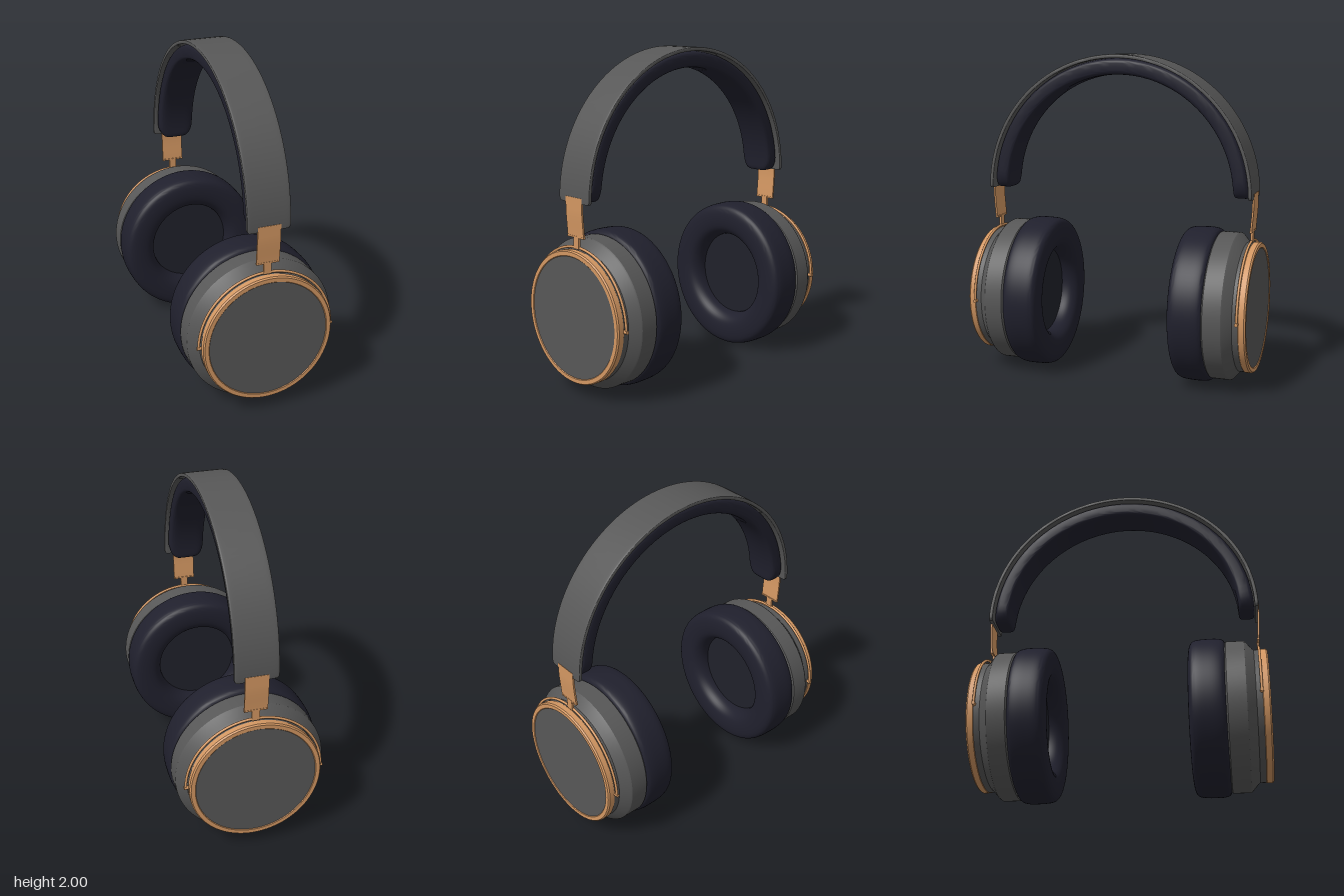
import * as THREE from 'three';
import { toCreasedNormals } from 'three/addons/utils/BufferGeometryUtils.js';

const mat = (name, color) => {
  const m = new THREE.MeshStandardMaterial({ color });
  m.name = name;
  return m;
};

const CUP_Y = 0.477;   // centre height of the ear cups
const BAND_Y = 1.153;  // centre height of the headband arc

function add(parent, name, geometry, material) {
  const mesh = new THREE.Mesh(geometry, material);
  mesh.name = name;
  parent.add(mesh);
  return mesh;
}

// Lathe a [radius, z] profile around the z axis
function latheZ(points, crease = 0.5) {
  const g = new THREE.LatheGeometry(points.map(([r, z]) => new THREE.Vector2(r, z)), 96);
  g.rotateX(Math.PI / 2);
  return toCreasedNormals(g, crease);
}

// Sweep a rounded section along a half circle; taper(distance to end) gives [width, thickness] factors
function archGeometry(radius, halfW, halfT, power, taper) {
  const sides = 48, angles = [];
  const ends = [0, 0.004, 0.012, 0.025, 0.045, 0.07, 0.1, 0.14];
  ends.forEach(a => angles.push(a));
  for (let i = 1; i < 56; i++) angles.push(0.14 + (Math.PI - 0.28) * i / 56);
  ends.slice().reverse().forEach(a => angles.push(Math.PI - a));
  angles.reverse();
  const pos = [], index = [];
  const soft = v => Math.sign(v) * Math.pow(Math.abs(v), power);
  for (const a of angles) {
    const [fw, ft] = taper(Math.min(a, Math.PI - a) * radius);
    for (let j = 0; j < sides; j++) {
      const t = j / sides * Math.PI * 2;
      const r = radius + halfT * ft * soft(Math.sin(t));
      pos.push(halfW * fw * soft(Math.cos(t)), BAND_Y + r * Math.sin(a), r * Math.cos(a));
    }
  }
  const n = angles.length;
  for (let i = 0; i < n - 1; i++) {
    for (let j = 0; j < sides; j++) {
      const k = (j + 1) % sides, p = i * sides, q = p + sides;
      index.push(p + j, p + k, q + k, p + j, q + k, q + j);
    }
  }
  const last = (n - 1) * sides;
  for (let j = 1; j < sides - 1; j++) {
    index.push(0, j + 1, j, last, last + j, last + j + 1);
  }
  const g = new THREE.BufferGeometry();
  g.setAttribute('position', new THREE.Float32BufferAttribute(pos, 3));
  g.setIndex(index);
  g.computeVertexNormals();
  return toCreasedNormals(g, 0.7);
}

function buildCup(m) {
  const side = new THREE.Group();
  const cup = new THREE.Group();
  cup.name = 'earCup';
  cup.position.y = CUP_Y;
  side.add(cup);

  // Puffy ear cushion with a slightly oval opening
  const profile = new THREE.SplineCurve([
    [0.285, 0.56], [0.262, 0.52], [0.268, 0.465], [0.3, 0.425], [0.35, 0.411], [0.41, 0.413],
    [0.445, 0.428], [0.459, 0.46], [0.463, 0.52], [0.462, 0.58], [0.452, 0.618], [0.425, 0.632],
  ].map(p => new THREE.Vector2(...p))).getPoints(44).map(p => [p.x, p.y]);
  add(cup, 'earCushion', latheZ(profile, 1), m.leather).scale.y = 1.03;

  // Cloth lining at the bottom of the opening
  const lining = add(cup, 'innerLining', new THREE.CircleGeometry(0.3, 64), m.lining);
  lining.rotation.y = Math.PI;
  lining.position.z = 0.515;

  // Stepped housing
  add(cup, 'housing', latheZ([
    [0.28, 0.622], [0.44, 0.622], [0.453, 0.634], [0.453, 0.742], [0.448, 0.75],
    [0.403, 0.788], [0.396, 0.796], [0.396, 0.832], [0.3, 0.832],
  ]), m.grey);

  // Metal rim and outer face
  add(cup, 'metalRim', latheZ([
    [0.3, 0.83], [0.394, 0.83], [0.399, 0.835], [0.399, 0.868], [0.392, 0.877],
    [0.368, 0.877], [0.364, 0.873], [0.364, 0.866],
  ]), m.copper);
  add(cup, 'outerFace', new THREE.CircleGeometry(0.366, 96), m.grey).position.z = 0.873;

  // Half-ring yoke with pivots
  add(cup, 'yoke', new THREE.TorusGeometry(0.412, 0.008, 10, 72, Math.PI), m.copper).position.z = 0.828;
  for (const s of [-1, 1]) {
    const pin = add(cup, 'yokePivot', new THREE.CylinderGeometry(0.011, 0.011, 0.035, 16), m.copper);
    pin.rotation.z = Math.PI / 2;
    pin.position.set(s * 0.405, 0, 0.828);
  }

  // Slider: narrow stem, lip and gently bent strip
  const strip = new THREE.BoxGeometry(0.14, 0.235, 0.011, 1, 16, 1);
  strip.translate(0, 1.0675, 0);
  const p = strip.attributes.position;
  for (let i = 0; i < p.count; i++) {
    p.setZ(i, p.getZ(i) + 0.832 + 0.011 * THREE.MathUtils.smoothstep(p.getY(i), 0.92, 1.12));
  }
  strip.computeVertexNormals();
  add(side, 'sliderStrip', strip, m.copper);
  add(side, 'sliderLip', new THREE.BoxGeometry(0.14, 0.01, 0.016), m.copper).position.set(0, 0.953, 0.832);
  add(side, 'sliderStem', new THREE.BoxGeometry(0.046, 0.075, 0.014), m.copper).position.set(0, 0.918, 0.83);
  return side;
}

export function createModel() {
  const m = {
    grey: mat('charcoal grey', 0x575757),
    leather: mat('dark navy leather', 0x20202d),
    lining: mat('dark lining', 0x20212a),
    copper: mat('copper metal', 0xd39762),
  };
  const model = new THREE.Group();
  model.name = 'headphones';

  // Headband shell and the padding beneath it
  add(model, 'headbandShell', archGeometry(0.8345, 0.131, 0.0125, 0.2,
    d => { const f = d < 0.012 ? 1 - 0.08 * (1 - d / 0.012) : 1; return [f, f]; }), m.grey);
  add(model, 'headbandPad', archGeometry(0.772, 0.114, 0.05, 0.42, d => {
    const w = Math.max(0, 1 - d / 0.1), t = Math.max(0, 1 - d / 0.03);
    return [0.5 + 0.5 * Math.sqrt(1 - w * w), 0.72 + 0.28 * Math.sqrt(1 - t * t)];
  }), m.leather);

  // Two matching ear cups facing each other
  for (const [name, turn] of [['frontCup', 0], ['backCup', Math.PI]]) {
    const side = buildCup(m);
    side.name = name;
    side.rotation.y = turn;
    model.add(side);
  }
  return model;
}
